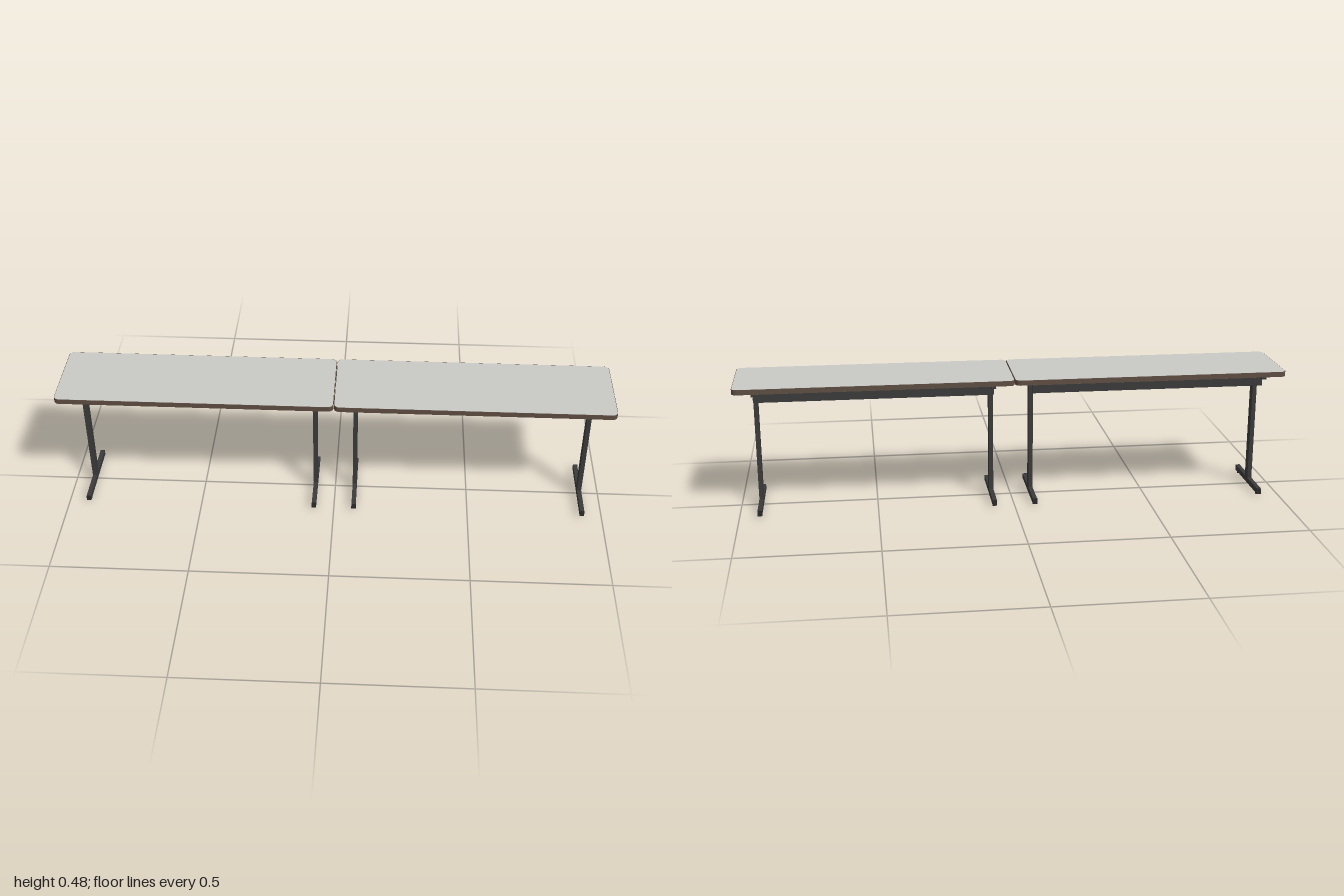
import * as THREE from 'three';

const laminate = new THREE.MeshStandardMaterial({ name: 'greyLaminate', color: 0xcacac6 });
const edging = new THREE.MeshStandardMaterial({ name: 'brownEdging', color: 0x5f4e42 });
const backing = new THREE.MeshStandardMaterial({ name: 'tanBacking', color: 0x968368 });
const steel = new THREE.MeshStandardMaterial({ name: 'darkSteel', color: 0x3b3b3c });
const plastic = new THREE.MeshStandardMaterial({ name: 'blackPlastic', color: 0x2a2a2a });

function add(parent, name, geometry, material, x, y, z) {
  const mesh = new THREE.Mesh(geometry, material);
  mesh.name = name;
  mesh.position.set(x, y, z);
  parent.add(mesh);
}

// Box given by its centre x and z, and its bottom and top heights
function bar(parent, name, w, d, y0, y1, x, z, material = steel) {
  add(parent, name, new THREE.BoxGeometry(w, y1 - y0, d), material, x, (y0 + y1) / 2, z);
}

// Flat slab with rounded corners; inset shrinks it evenly on all sides
function slab(height, inset) {
  const a = 0.4995 - inset, b = 0.1515 - inset, r = 0.02 - inset;
  const s = new THREE.Shape();
  s.moveTo(-a + r, -b).lineTo(a - r, -b);
  s.absarc(a - r, -b + r, r, -Math.PI / 2, 0);
  s.absarc(a - r, b - r, r, 0, Math.PI / 2);
  s.absarc(-a + r, b - r, r, Math.PI / 2, Math.PI);
  s.absarc(-a + r, -b + r, r, Math.PI, Math.PI * 1.5);
  return new THREE.ExtrudeGeometry(s, { depth: height, bevelEnabled: false, curveSegments: 8 })
    .rotateX(-Math.PI / 2);
}

// T-shaped leg: foot, post and the support under the top
function createLeg(x) {
  const leg = new THREE.Group();
  leg.name = 'leg';
  leg.position.x = x;
  bar(leg, 'foot', 0.016, 0.276, 0.007, 0.027, 0, 0);
  bar(leg, 'post', 0.016, 0.032, 0.027, 0.449, 0, 0);
  bar(leg, 'topSupport', 0.016, 0.25, 0.449, 0.4645, 0, 0);
  for (const s of [-1, 1]) {
    bar(leg, 'footEndCap', 0.017, 0.003, 0.0065, 0.0275, 0, s * 0.1385, plastic);
    add(leg, 'glide', new THREE.CylinderGeometry(0.007, 0.007, 0.007, 16), plastic, 0, 0.0035, s * 0.118);
  }
  return leg;
}

function createTable(x) {
  const table = new THREE.Group();
  table.name = 'table';
  table.position.x = x;
  // Board with a brown edge all round, laminate above and backing below
  add(table, 'board', slab(0.0185, 0), edging, 0, 0.465, 0);
  add(table, 'topSurface', slab(0.0008, 0.0015), laminate, 0, 0.4832, 0);
  add(table, 'underside', slab(0.0008, 0.0015), backing, 0, 0.4645, 0);
  table.add(createLeg(-0.426), createLeg(0.426));
  // Long rail along the rear
  bar(table, 'rail', 0.86, 0.016, 0.416, 0.449, 0, -0.078);
  return table;
}

export function createModel() {
  const model = new THREE.Group();
  model.name = 'pairOfTables';
  model.add(createTable(-0.5005), createTable(0.5005));
  // Small plates joining the two tops from below
  for (const z of [-0.08, 0.08]) bar(model, 'linkPlate', 0.075, 0.03, 0.4625, 0.465, 0, z);
  return model;
}
